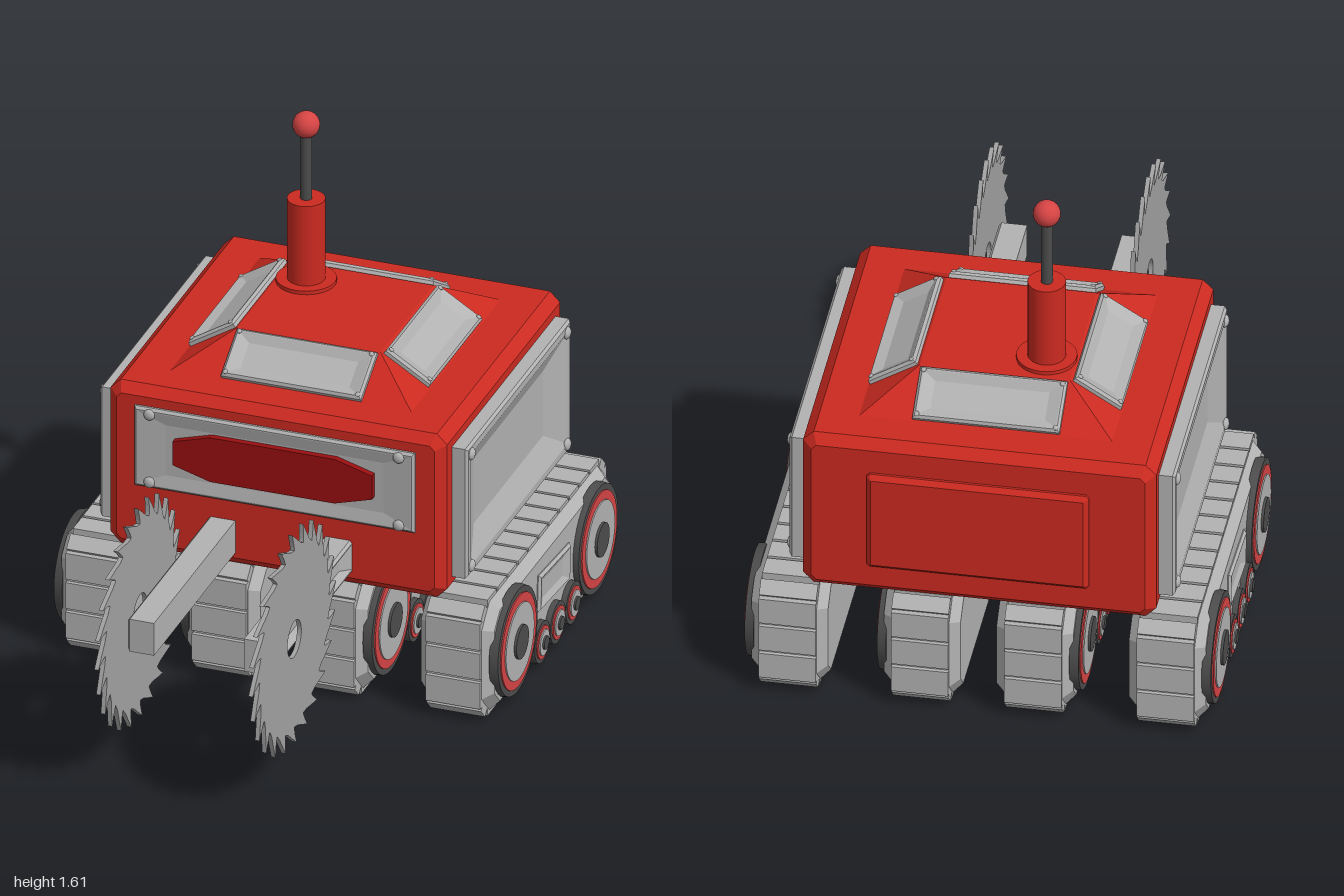
import * as THREE from 'three';

const mat = (name, color) => { const m = new THREE.MeshStandardMaterial({ color }); m.name = name; return m; };
const MID_Z = -0.445; // centre of the hull along z

export function createModel() {
  const red = mat('hull red', 0xcc2a20), darkRed = mat('dark red', 0x980e10), lightRed = mat('light red', 0xd64444);
  const grey = mat('light grey', 0xb2b2b2), steel = mat('blade steel', 0xa2a2a2), dark = mat('dark grey', 0x4c4c4c);
  const model = new THREE.Group();

  const add = (parent, name, geo, material, x = 0, y = 0, z = 0) => {
    const m = new THREE.Mesh(geo, material);
    m.name = name;
    m.position.set(x, y, z);
    parent.add(m);
    return m;
  };
  const group = (parent, name, x = 0, y = 0, z = 0) => {
    const g = new THREE.Group();
    g.name = name;
    g.position.set(x, y, z);
    parent.add(g);
    return g;
  };
  // Rectangle with cut corners
  const cutRect = (w, h, cx, cy = cx) => {
    const a = w / 2, b = h / 2;
    return new THREE.Shape([[-a + cx, -b], [a - cx, -b], [a, -b + cy], [a, b - cy], [a - cx, b], [-a + cx, b], [-a, b - cy], [-a, -b + cy]]
      .map(p => new THREE.Vector2(...p)));
  };
  // Block with cut corners and bevelled ends, centred on the origin
  const bevelBlock = (w, h, d, corner, bevel) => new THREE.ExtrudeGeometry(cutRect(w - 2 * bevel, h - 2 * bevel, corner),
    { depth: d - 2 * bevel, bevelSize: bevel, bevelThickness: bevel, bevelSegments: 1 }).translate(0, 0, bevel - d / 2);
  // Framed plate facing +z with a sunken middle
  const dish = (w, h, t, rim, insetX, insetY, depth) => {
    const e = Math.min(0.008, t / 2);
    const rings = [[0, 0, 0], [0, 0, t - e], [e, e, t], [rim, rim, t], [insetX, insetY, t - depth]].map(([ix, iy, z]) => {
      const a = w / 2 - ix, b = h / 2 - iy;
      return [[-a, -b, z], [a, -b, z], [a, b, z], [-a, b, z]];
    });
    const pos = [];
    const quad = (a, b, c, d) => pos.push(...a, ...b, ...c, ...a, ...c, ...d);
    for (let i = 0; i < rings.length - 1; i++)
      for (let k = 0; k < 4; k++) quad(rings[i][k], rings[i][(k + 1) % 4], rings[i + 1][(k + 1) % 4], rings[i + 1][k]);
    quad(...rings.at(-1));
    const g = new THREE.BufferGeometry();
    g.setAttribute('position', new THREE.Float32BufferAttribute(pos, 3));
    g.computeVertexNormals();
    return g;
  };
  const screws = (parent, w, h, z, r) => {
    for (const sx of [-1, 1]) for (const sy of [-1, 1])
      add(parent, 'screw', new THREE.SphereGeometry(r, 12, 8).scale(1, 1, 0.6), grey, sx * w / 2, sy * h / 2, z);
  };

  // Hull and sloped roof
  add(model, 'hull', bevelBlock(1.08, 0.555, 1.04, 0.015, 0.03), red, 0, 0.6625, MID_Z);
  const roofGeo = new THREE.CylinderGeometry(0.23 * Math.SQRT2, 0.39 * Math.SQRT2, 0.1, 4).rotateY(Math.PI / 4).toNonIndexed();
  roofGeo.computeVertexNormals();
  add(model, 'roof', roofGeo, red, 0, 0.988, MID_Z);
  const slope = Math.atan2(0.1, 0.16);
  for (let i = 0; i < 4; i++) {
    const side = group(model, 'roofPanelSide', 0, 0, MID_Z);
    side.rotation.y = i * Math.PI / 2;
    const panel = group(side, 'roofPanel', 0, 0.988, 0.31);
    panel.rotation.x = slope - Math.PI / 2;
    add(panel, 'roofPlate', dish(0.45, 0.17, 0.02, 0.012, 0.05, 0.04, 0.014), grey);
    screws(panel, 0.425, 0.145, 0.02, 0.008);
  }

  // Side panels
  for (const s of [-1, 1]) {
    const panel = group(model, 'sidePanel', s * 0.535, 0.66, MID_Z);
    panel.rotation.y = s * Math.PI / 2;
    add(panel, 'sidePlate', dish(0.9, 0.44, 0.055, 0.03, 0.15, 0.11, 0.035), grey);
    screws(panel, 0.83, 0.38, 0.055, 0.02);
  }

  // Front panel with its dark visor, and rear hatch
  const front = group(model, 'frontPanel', 0, 0.745, 0.07);
  add(front, 'frontPlate', dish(0.9, 0.27, 0.02, 0.012, 0.1, 0.05, 0.008), grey);
  screws(front, 0.8, 0.23, 0.02, 0.018);
  add(front, 'visor', new THREE.ExtrudeGeometry(cutRect(0.64, 0.15, 0.12, 0.035), { depth: 0.03, bevelEnabled: false }), darkRed, 0, 0.005, 0.003);
  add(model, 'rearHatch', bevelBlock(0.68, 0.34, 0.04, 0.001, 0.015), red, 0, 0.66, -0.968);

  // Antenna
  const antenna = group(model, 'antenna', -0.14, 0, -0.57);
  const tube = (name, r, y0, y1, m) => add(antenna, name, new THREE.CylinderGeometry(r, r, y1 - y0, 32), m, 0, (y0 + y1) / 2);
  tube('antennaFlange', 0.092, 1.03, 1.05, red);
  tube('antennaSleeve', 0.058, 1.04, 1.32, red);
  tube('antennaRod', 0.018, 1.31, 1.55, dark);
  add(antenna, 'antennaBall', new THREE.SphereGeometry(0.042, 24, 16), lightRed, 0, 1.57);

  // Saw blade outline with hooked teeth
  const pts = [], teeth = 24;
  for (let i = 0; i < teeth; i++)
    for (const [f, r] of [[0, 0.3], [0.35, 0.308], [0.75, 0.33], [1.2, 0.362], [1.08, 0.33], [1.02, 0.312]]) {
      const a = (i + f) / teeth * Math.PI * 2;
      pts.push(new THREE.Vector2(Math.cos(a) * r, Math.sin(a) * r));
    }
  const bladeShape = new THREE.Shape(pts);
  bladeShape.holes.push(new THREE.Path().absarc(0, 0, 0.06, 0, Math.PI * 2, true));
  const bladeGeo = new THREE.ExtrudeGeometry(bladeShape, { depth: 0.014, bevelEnabled: false, curveSegments: 20 })
    .translate(0, 0, -0.007).rotateY(Math.PI / 2);

  // Saw arms
  for (const s of [-1, 1]) {
    const arm = group(model, 'sawArm', 0.0155 + s * 0.1875, 0.487, 0);
    add(arm, 'armBar', new THREE.BoxGeometry(0.065, 0.11, 0.72), grey, -s * 0.0105, 0, 0.42);
    add(arm, 'armCheek', dish(0.72, 0.11, 0.022, 0.012, 0.08, 0.035, 0.018), grey, s * 0.021, 0, 0.42).rotation.y = s * Math.PI / 2;
    add(arm, 'sawBlade', bladeGeo, steel, s * 0.06, 0.006, 0.64);
  }

  // Wheel made of stacked discs along x
  const wheel = (parent, name, y, z, discs) => {
    const w = group(parent, name, 0.225, y, z);
    for (const [part, r, out, m] of discs)
      add(w, part, new THREE.CylinderGeometry(r * 0.98, r, out, 40).rotateZ(-Math.PI / 2), m, out / 2);
  };
  const core = bevelBlock(1.07, 0.37, 0.235, 0.05, 0.03).rotateY(Math.PI / 2);

  // Four crawler tracks; the -x pair is turned round so the wheels face outwards
  for (const s of [-1, 1]) for (const inner of [0.055, 0.46]) {
    const track = group(model, inner < 0.1 ? 'innerTrack' : 'outerTrack', s * inner, 0, -0.45);
    if (s < 0) track.rotation.y = Math.PI;
    add(track, 'trackBody', core, grey, 0.1175, 0.2, 0);
    const pad = (y, z, len, tilt) => {
      add(track, 'trackPad', new THREE.BoxGeometry(0.175, 0.03, len), grey, 0.118, y, z).rotation.x = tilt;
    };
    for (const e of [-1, 1]) {
      for (let i = -5; i <= 5; i++) pad(0.2 + e * 0.182, i * 0.089, 0.078, 0);
      for (let i = -1; i <= 1; i++) pad(0.2 + i * 0.1, e * 0.533, 0.088, Math.PI / 2);
      for (const v of [-1, 1]) pad(0.2 + v * 0.162, e * 0.512, 0.05, e * v * Math.PI / 4);
      wheel(track, 'mainWheel', 0.2, e * 0.35, [['tyre', 0.175, 0.028, dark], ['wheelRing', 0.155, 0.032, lightRed],
        ['wheelDisc', 0.125, 0.036, grey], ['wheelHub', 0.055, 0.044, dark]]);
    }
    for (let i = -1; i <= 1; i++)
      wheel(track, 'roadWheel', 0.09, i * 0.135, [['tyre', 0.068, 0.028, dark], ['wheelRing', 0.054, 0.032, lightRed],
        ['wheelDisc', 0.042, 0.036, grey], ['wheelHub', 0.022, 0.042, dark]]);
    const plate = add(track, 'trackPlate', dish(0.27, 0.12, 0.016, 0.01, 0.05, 0.03, 0.01), grey, 0.23, 0.24, 0);
    plate.rotation.set(0, Math.PI / 2, -0.07, 'YXZ');
  }
  return model;
}
